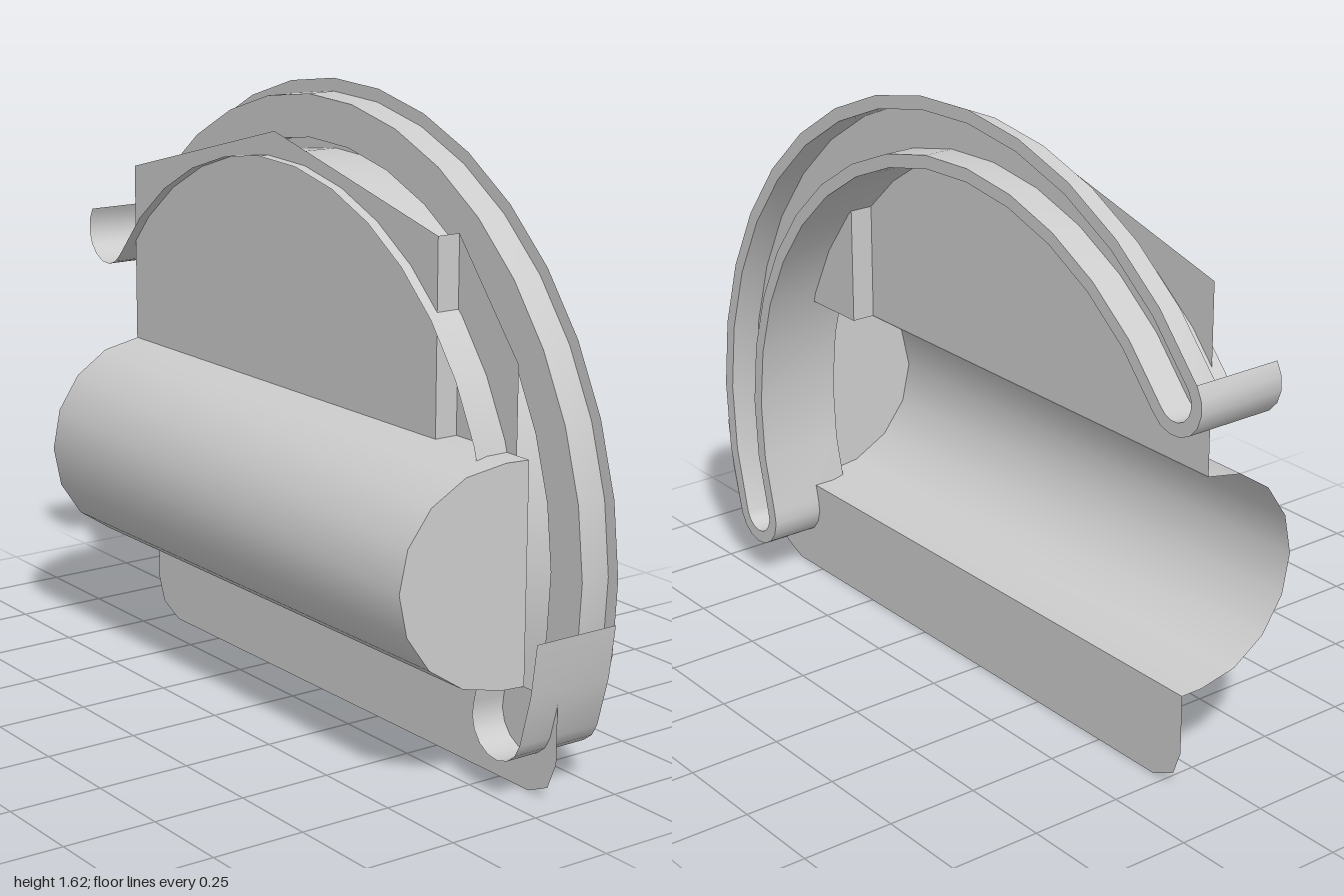
import * as THREE from 'three';
import { toCreasedNormals } from 'three/addons/utils/BufferGeometryUtils.js';

const mat = new THREE.MeshStandardMaterial({ color: 0xcccccc, side: THREE.DoubleSide });

// Ruled surface between two equally long lists of [x, y, z] points
function strip(name, a, b) {
  const pos = [];
  for (let i = 0; i < a.length - 1; i++) {
    pos.push(...a[i], ...b[i], ...b[i + 1], ...a[i], ...b[i + 1], ...a[i + 1]);
  }
  const g = new THREE.BufferGeometry();
  g.setAttribute('position', new THREE.Float32BufferAttribute(pos, 3));
  g.computeVertexNormals();
  const mesh = new THREE.Mesh(toCreasedNormals(g, 0.7), mat);
  mesh.name = name;
  return mesh;
}

// Wall that runs along x above a path of [z, y] points
const wall = (name, path, x0, x1) =>
  strip(name, path.map(([z, y]) => [x0, y, z]), path.map(([z, y]) => [x1, y, z]));

// Flat sheet at a fixed x from [z, y] points, with an optional hole
function sheet(name, outline, x, hole) {
  const toVec = (p) => new THREE.Vector2(p[0], p[1]);
  const shape = new THREE.Shape(outline.map(toVec));
  if (hole) shape.holes.push(new THREE.Path(hole.map(toVec)));
  const g = new THREE.ShapeGeometry(shape);
  g.rotateY(-Math.PI / 2);
  g.translate(x, 0, 0);
  const mesh = new THREE.Mesh(g, mat);
  mesh.name = name;
  return mesh;
}

// Curved slot outline: arcs around a shared centre with rounded ends
const CZ = -0.11, CY = 0.515, MID = 1.012;
const A0 = THREE.MathUtils.degToRad(-18.8), A1 = THREE.MathUtils.degToRad(143.3);
const polar = (z, y, r, a) => [z + r * Math.cos(a), y + r * Math.sin(a)];
function arc(z, y, r, from, to, n) {
  return Array.from({ length: n + 1 }, (_, i) => polar(z, y, r, from + ((to - from) * i) / n));
}
function slot(half) {
  const tail = polar(CZ, CY, MID, A1), foot = polar(CZ, CY, MID, A0);
  return {
    outer: arc(CZ, CY, MID + half, A0, A1, 16),
    tailEnd: arc(...tail, half, A1, A1 + Math.PI, 8),
    inner: arc(CZ, CY, MID - half, A1, A0, 16),
    footEnd: arc(...foot, half, A0 + Math.PI, A0 + 2 * Math.PI, 8),
  };
}
const loop = (s) => [...s.outer, ...s.tailEnd.slice(1), ...s.inner.slice(1), ...s.footEnd.slice(1, -1)];

function buildRail() {
  const rail = new THREE.Group();
  rail.name = 'curvedRail';
  const big = slot(0.092), small = slot(0.057);
  const rim = loop(big), pocket = loop(small);
  // The skin is open along the outer arc, apart from a short piece at the foot
  const skin = [
    ...big.tailEnd, ...big.inner.slice(1), ...big.footEnd.slice(1),
    ...arc(CZ, CY, MID + 0.092, A0, -0.077, 2).slice(1),
  ];
  rail.add(
    wall('railSkin', skin, 0, 0.245),
    sheet('railRim', rim, 0.245, pocket),
    wall('grooveWall', [...pocket, pocket[0]], 0.163, 0.245),
    sheet('grooveFloor', pocket, 0.163),
  );
  return rail;
}

function buildBody() {
  const body = new THREE.Group();
  body.name = 'body';
  const BACK = -0.81, STEP = 0.56, INNER = 0.03, OUTER = 0.095, TOP = 0.828, LOW = 0.26;
  const frontZ = (x) => 0.787 + (x + 0.25) * 0.14;

  // Half-round trough bulging towards -x, with a slanted front end
  const profile = [];
  for (let i = 0; i <= 8; i++) {
    const a = Math.PI / 2 + (Math.PI * i) / 8;
    profile.push([0.033 + 0.284 * Math.cos(a), 0.544 + 0.284 * Math.sin(a)]);
  }
  profile.push([OUTER, LOW]);
  const at = (z) => profile.map(([x, y]) => [x, y, z(x)]);
  body.add(strip('trough', at(() => BACK), at(frontZ)));
  body.add(strip('troughFrontCap', at(frontZ), profile.map(([, y]) => [OUTER, y, frontZ(OUTER)])));

  // Shelf and step joining the two plate levels
  body.add(strip('shelf', [[INNER, TOP, STEP], [INNER, TOP, frontZ(INNER)]],
    [[OUTER, TOP, STEP], [OUTER, TOP, frontZ(OUTER)]]));
  body.add(strip('plateStep', [[INNER, TOP, STEP], [INNER, 1.33, STEP]],
    [[OUTER, TOP, STEP], [OUTER, 1.33, STEP]]));

  // Upper plates
  body.add(sheet('upperPlate',
    [[BACK, TOP], [STEP, TOP], [STEP, 1.33], [-0.125, 1.5], [BACK, 1.32]], INNER));
  body.add(sheet('upperFrontPlate',
    [[STEP, TOP], [0.79, TOP], [0.79, 1.05], [STEP, 1.33]], OUTER));

  // Lower plate with rounded bottom corners
  body.add(sheet('lowerPlate', [
    [BACK, LOW], [BACK, 0.1], [-0.785, 0.035], [-0.71, 0],
    [0.86, 0], [0.93, 0.03], [0.96, 0.1], [0.96, LOW],
  ], OUTER));
  return body;
}

export function createModel() {
  const model = new THREE.Group();
  model.name = 'railAndTroughPanel';
  model.add(buildBody(), buildRail());
  return model;
}
